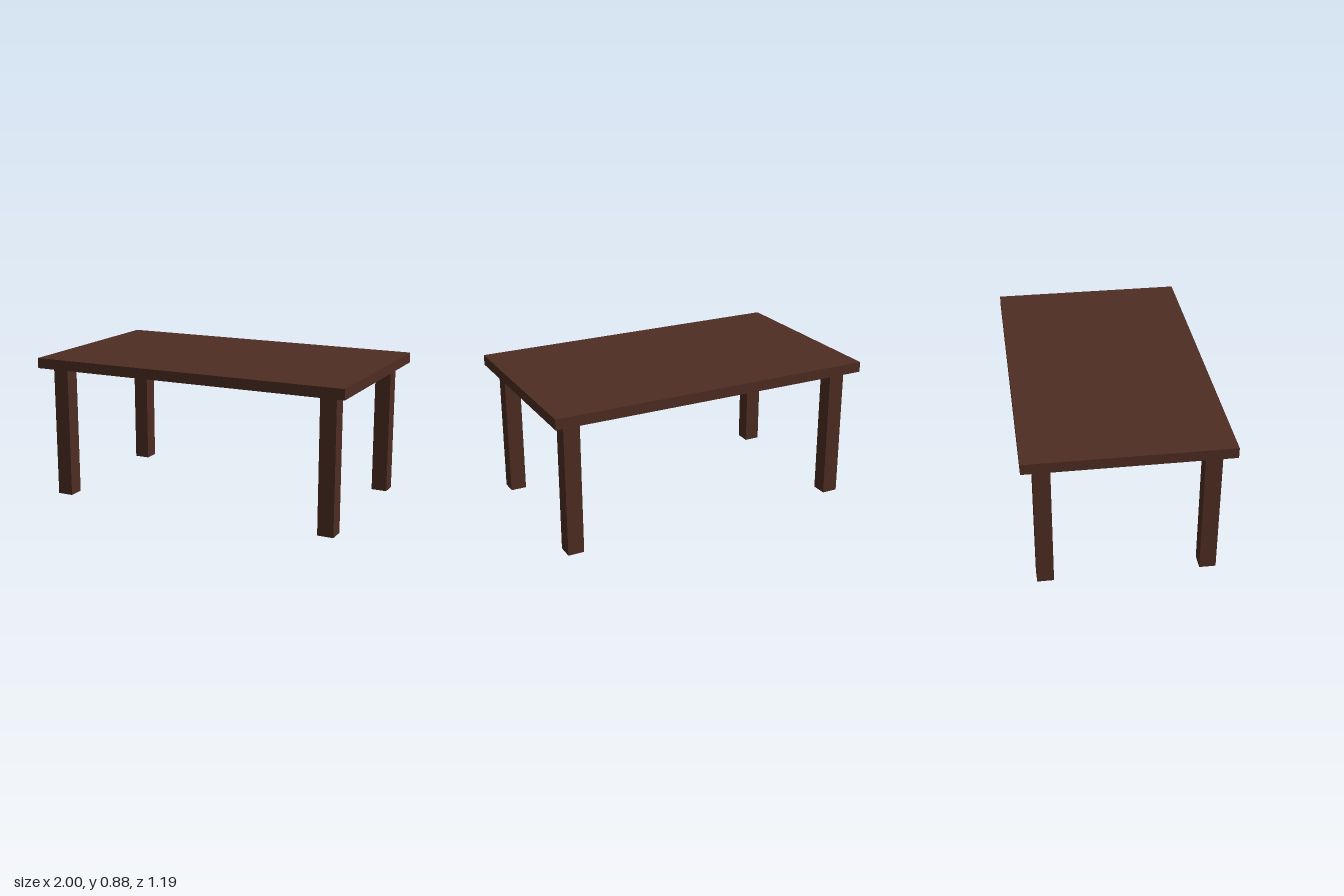
import * as THREE from 'three';

export function createModel() {
  const table = new THREE.Group();
  table.name = 'table';

  const darkWood = new THREE.MeshStandardMaterial({ color: 0x4e2d23 });
  darkWood.name = 'darkWood';

  const height = 0.88, topThickness = 0.063;
  const legHeight = height - topThickness, legWidth = 0.098;

  function addBox(name, w, h, d, x, y, z) {
    const mesh = new THREE.Mesh(new THREE.BoxGeometry(w, h, d), darkWood);
    mesh.name = name;
    mesh.position.set(x, y, z);
    table.add(mesh);
  }

  // Slab top
  addBox('tableTop', 2, topThickness, 1.188, 0, height - topThickness / 2, 0);

  // Four square legs, set in from the corners
  for (const [side, x] of [['Left', 0.881], ['Right', -0.881]]) {
    for (const [end, z] of [['front', 0.477], ['back', -0.477]]) {
      addBox(`${end}${side}Leg`, legWidth, legHeight, legWidth, x, legHeight / 2, z);
    }
  }

  return table;
}
